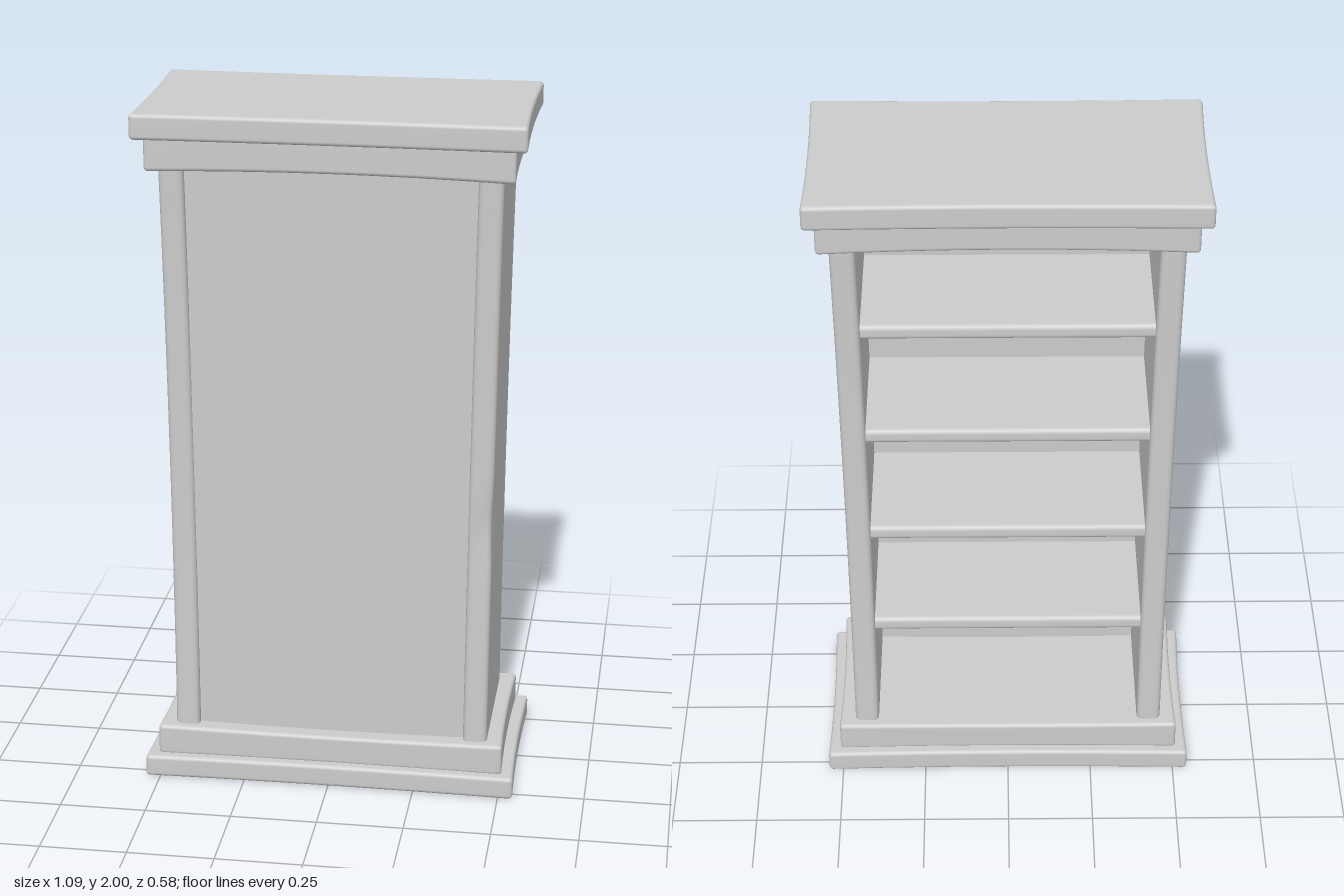
import * as THREE from 'three';
import { mergeVertices } from 'three/addons/utils/BufferGeometryUtils.js';

const BEVEL = 3; // segments spent on each rounded edge

// Place grid lines so that the outer segments fall in the rounded edge.
function spread(t, segments, half, r) {
  const i = Math.round((t + 0.5) * segments);
  if (i <= BEVEL) return -half + (r * i) / BEVEL;
  if (i >= segments - BEVEL) return half - (r * (segments - i)) / BEVEL;
  return -half + r + ((2 * half - 2 * r) * (i - BEVEL)) / (segments - 2 * BEVEL);
}

// Rounded box between two corners, with "mid" spans per axis, bent by warp(point).
function softBox(min, max, r, mid, warp) {
  const segs = mid.map((m) => m + 2 * BEVEL);
  let geo = new THREE.BoxGeometry(1, 1, 1, ...segs);
  geo.deleteAttribute('uv');
  geo.deleteAttribute('normal');
  geo = mergeVertices(geo);
  const pos = geo.attributes.position;
  const half = min.map((v, i) => (max[i] - v) / 2);
  const centre = new THREE.Vector3(...min.map((v, i) => (max[i] + v) / 2));
  const inner = new THREE.Vector3(...half.map((h) => h - r));
  const p = new THREE.Vector3();
  for (let i = 0; i < pos.count; i++) {
    p.fromBufferAttribute(pos, i);
    p.set(...p.toArray().map((t, k) => spread(t, segs[k], half[k], r)));
    const core = p.clone().clamp(inner.clone().negate(), inner);
    p.sub(core).normalize().multiplyScalar(r).add(core).add(centre);
    if (warp) warp(p);
    pos.setXYZ(i, p.x, p.y, p.z);
  }
  geo.computeVertexNormals();
  return geo;
}

export function createModel() {
  const stone = new THREE.MeshStandardMaterial({ color: 0xcccccc });
  stone.name = 'plain grey';
  const model = new THREE.Group();
  model.name = 'bookcase';
  const add = (name, geo) => {
    const mesh = new THREE.Mesh(geo, stone);
    mesh.name = name;
    model.add(mesh);
  };

  // Stepped base and cornice: slabs pinched slightly along the middle of each side
  const slabs = [
    ['baseSlab', 0.543, 0.288, 0, 0.066, 0],
    ['baseMoulding', 0.508, 0.258, 0.06, 0.154, 1],
    ['corniceMoulding', 0.512, 0.255, 1.832, 1.932, -1],
    ['corniceSlab', 0.544, 0.287, 1.927, 2, 0],
  ];
  for (const [name, hx, hz, y0, y1, sag] of slabs) {
    add(name, softBox([-hx, y0, -hz], [hx, y1, hz], 0.012, [8, 1, 6], (p) => {
      const u = 1 - (p.x / hx) ** 2;
      const v = 1 - (p.z / hz) ** 2;
      p.z *= 1 - 0.025 * u;
      p.x *= 1 - 0.012 * v;
      // the exposed ledge dips a little toward the centre
      if (sag > 0 && p.y > 0.11) p.y -= 0.007 * u;
      if (sag < 0 && p.y < 1.88) p.y += 0.009 * u;
    }));
  }

  // Side posts: waisted in depth and leaning outward at the top
  for (const side of [1, -1]) {
    add(side > 0 ? 'leftSide' : 'rightSide',
      softBox([-0.035, 0.13, -0.23], [0.035, 1.85, 0.23], 0.018, [1, 24, 4], (p) => {
        const t = (p.y - 0.99) / 0.86;
        const chip = Math.max(0, 1 - Math.abs(p.y - 0.82) / 0.13);
        p.z *= 1 - 0.05 * (1 - t * t);
        p.x = side * (0.431 + 0.009 * t + 0.003 * t * t) + p.x;
        // worn dent on one front edge
        if (side > 0 && p.z > 0.17 && p.x > 0.44) {
          p.z -= 0.012 * chip;
          p.x -= 0.006 * chip;
        }
      }));
  }

  // Closed panel, set just inside the posts
  const panel = new THREE.BoxGeometry(0.84, 1.72, 0.046);
  panel.translate(0, 0.99, 0.181);
  add('panel', panel);

  // Shelves with rounded lips, open on the far side
  [1.57, 1.218, 0.873, 0.53].forEach((top, i) => {
    add('shelf' + (i + 1),
      softBox([-0.415, top - 0.044, -0.203], [0.415, top, 0.175], 0.014, [4, 1, 2]));
  });

  return model;
}
